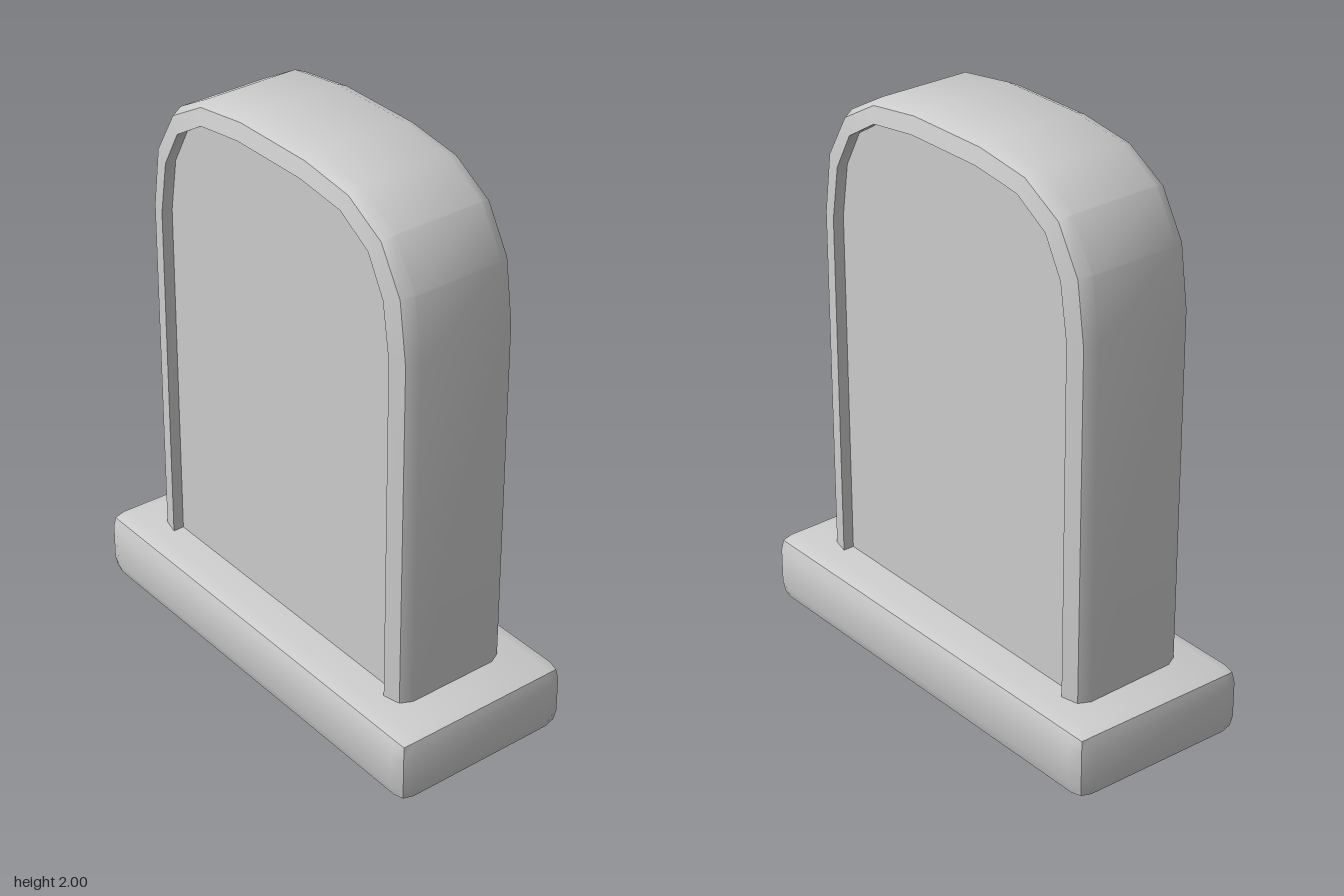
import * as THREE from 'three';
import { toCreasedNormals } from 'three/addons/utils/BufferGeometryUtils.js';

const stone = new THREE.MeshStandardMaterial({ color: 0xcccccc });

// Right half of the arched outline, bottom to top: outer edge and panel edge
const outer = [[0.655, 0.2], [0.655, 1.5], [0.625, 1.72], [0.53, 1.88], [0.37, 1.97], [0.16, 2.0]];
const inner = [[0.575, 0.2], [0.575, 1.5], [0.545, 1.69], [0.475, 1.82], [0.345, 1.9], [0.155, 1.925]];

// Closed outline at depth z; t = 0 is the outer edge, t = 1 the panel edge
function outline(t, z) {
  const right = outer.map(([x, y], i) => new THREE.Vector3(
    THREE.MathUtils.lerp(x, inner[i][0], t), THREE.MathUtils.lerp(y, inner[i][1], t), z));
  const left = right.map((p) => new THREE.Vector3(-p.x, p.y, z)).reverse();
  return [...right, ...left];
}

// Upright slab: bevelled edge, sloping rim and sunken panel on both faces
function slabGeometry() {
  const half = [[1, 0.18], [1, 0.22], [0.25, 0.205], [0, 0.165]];
  const sections = [...half, ...half.map(([t, z]) => [t, -z]).reverse()];
  const rings = sections.map(([t, z]) => outline(t, z));
  const n = rings[0].length;
  const points = [];
  for (let i = 0; i < n; i++) {
    const j = (i + 1) % n;
    for (let k = 0; k < rings.length - 1; k++) {
      const a = rings[k][i], b = rings[k][j], c = rings[k + 1][j], d = rings[k + 1][i];
      points.push(a, d, c, a, c, b);
    }
    // Flat panels
    const front = rings[0], back = rings[rings.length - 1];
    points.push(new THREE.Vector3(0, 1, 0.18), front[i], front[j]);
    points.push(new THREE.Vector3(0, 1, -0.18), back[j], back[i]);
  }
  return toCreasedNormals(new THREE.BufferGeometry().setFromPoints(points), 0.6);
}

// Plinth: block with softly pulled-in edges and corners, slightly out of square
function plinthGeometry() {
  const size = [0.815, 0.125, 0.337];
  const geometry = new THREE.BoxGeometry(1, 1, 1, 3, 3, 3);
  const position = geometry.attributes.position;
  for (let i = 0; i < position.count; i++) {
    const v = new THREE.Vector3().fromBufferAttribute(position, i).toArray();
    const outside = v.filter((c) => Math.abs(c) > 0.4).length;
    const pull = [0, 0, 0.016, 0.022][outside];
    const [x, y, z] = v.map((c, k) =>
      Math.sign(c) * (size[k] - (Math.abs(c) > 0.4 ? pull : 0.06)));
    position.setXYZ(i,
      x + (x < 0 ? 0.008 - z * 0.03 : 0),
      y + size[1],
      z - (z < 0 ? x * 0.008 : 0));
  }
  return toCreasedNormals(geometry, 0.6);
}

export function createModel() {
  const model = new THREE.Group();
  model.name = 'headstone';
  const add = (name, geometry) => {
    const mesh = new THREE.Mesh(geometry, stone);
    mesh.name = name;
    model.add(mesh);
  };
  add('slab', slabGeometry());
  add('plinth', plinthGeometry());
  return model;
}
